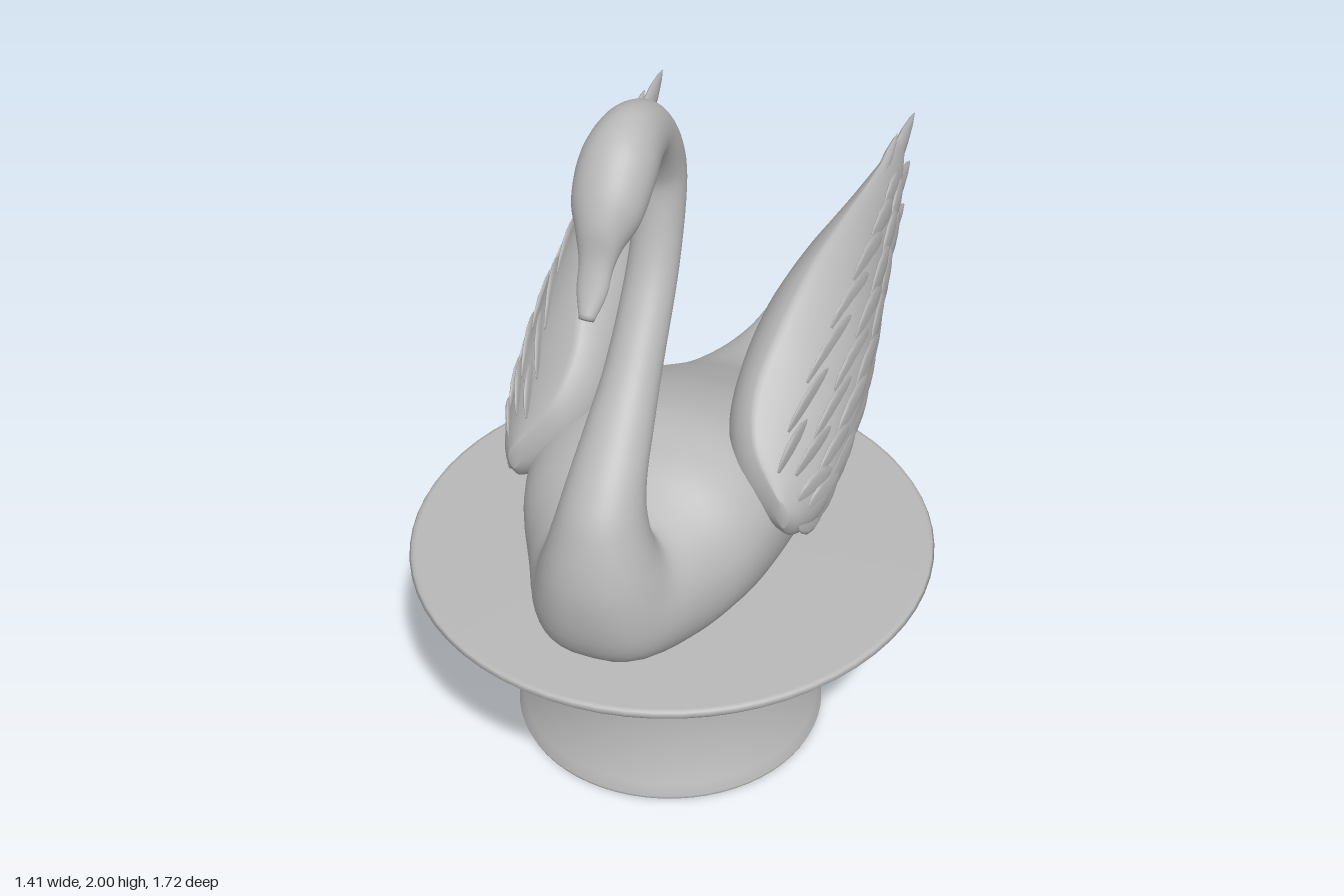
import * as THREE from 'three';

const stone = new THREE.MeshStandardMaterial({ color: 0xb8b8b8 });
stone.name = 'stoneGrey';

const V = (x, y, z) => new THREE.Vector3(x, y, z);

// Catmull-Rom interpolation of every column in a table of rows, t from 0 to 1
function sample(rows, t) {
  const n = rows.length - 1;
  const f = Math.min(Math.max(t, 0), 1) * n;
  const i = Math.min(Math.floor(f), n - 1), u = f - i;
  const row = (k) => rows[Math.min(Math.max(k, 0), n)];
  return rows[0].map((_, c) => {
    const [a, b, d, e] = [row(i - 1)[c], row(i)[c], row(i + 1)[c], row(i + 2)[c]];
    return b + 0.5 * u * (d - a + u * (2 * a - 5 * b + 4 * d - e + u * (3 * (b - d) + e - a)));
  });
}

// Skin over closed rings, capped at both ends and always facing outward
function loft(rings) {
  const n = rings[0].length, m = rings.length, pts = rings.flat(), idx = [];
  for (let i = 0; i < m - 1; i++) {
    for (let j = 0; j < n; j++) {
      const a = i * n + j, b = i * n + (j + 1) % n;
      idx.push(a, b, a + n, b, b + n, a + n);
    }
  }
  for (const [r, flip] of [[0, true], [m - 1, false]]) {
    const c = pts.length;
    pts.push(rings[r].reduce((s, p) => s.add(p), V(0, 0, 0)).divideScalar(n));
    for (let j = 0; j < n; j++) {
      const a = r * n + j, b = r * n + (j + 1) % n;
      idx.push(...(flip ? [c, b, a] : [c, a, b]));
    }
  }
  let volume = 0;
  for (let k = 0; k < idx.length; k += 3) {
    volume += pts[idx[k]].dot(V(0, 0, 0).crossVectors(pts[idx[k + 1]], pts[idx[k + 2]]));
  }
  if (volume < 0) idx.reverse();
  const geo = new THREE.BufferGeometry().setFromPoints(pts);
  geo.setIndex(idx);
  geo.computeVertexNormals();
  return geo;
}

function add(parent, name, geo) {
  const mesh = new THREE.Mesh(geo, stone);
  mesh.name = name;
  parent.add(mesh);
  return mesh;
}

// Tail to beak: lower/front z, y, then upper/back z, y, then half width
const bodyRows = [
  [-0.86, 0.775, -0.862, 0.785, 0.004], [-0.79, 0.695, -0.80, 0.75, 0.033],
  [-0.68, 0.618, -0.70, 0.722, 0.075], [-0.55, 0.572, -0.56, 0.73, 0.13],
  [-0.40, 0.55, -0.40, 0.77, 0.205], [-0.22, 0.53, -0.22, 0.86, 0.295],
  [0, 0.52, 0, 0.965, 0.355], [0.2, 0.52, 0.2, 1.015, 0.362],
  [0.4, 0.52, 0.35, 0.99, 0.328], [0.58, 0.53, 0.45, 0.94, 0.255],
  [0.74, 0.61, 0.51, 0.915, 0.192], [0.787, 0.80, 0.528, 0.92, 0.15],
  [0.75, 0.98, 0.525, 0.975, 0.115], [0.68, 1.09, 0.50, 1.05, 0.097],
  [0.58, 1.19, 0.43, 1.14, 0.084], [0.457, 1.315, 0.345, 1.25, 0.071],
  [0.325, 1.50, 0.212, 1.47, 0.065], [0.27, 1.675, 0.144, 1.68, 0.063],
  [0.287, 1.755, 0.17, 1.82, 0.064], [0.34, 1.81, 0.27, 1.945, 0.068],
  [0.39, 1.81, 0.40, 2.0, 0.08], [0.46, 1.785, 0.51, 1.975, 0.093],
  [0.53, 1.735, 0.59, 1.895, 0.086], [0.575, 1.705, 0.635, 1.81, 0.058],
  [0.61, 1.675, 0.65, 1.73, 0.042], [0.645, 1.63, 0.675, 1.665, 0.037],
  [0.685, 1.582, 0.708, 1.603, 0.018],
];

function bodyGeometry() {
  const rings = [];
  for (let i = 0; i <= 130; i++) {
    const [zb, yb, zt, yt, w] = sample(bodyRows, i / 130);
    // fuller flanks where the body rests on the plate, easing off at tail and neck
    const full = Math.sin(Math.PI * Math.min(i / 60, 1));
    const ring = [];
    for (let j = 0; j < 40; j++) {
      const a = j / 40 * Math.PI * 2, c = Math.cos(a), s = Math.sin(a);
      const x = w * Math.sign(c) * Math.pow(Math.abs(c), 1 - full * (s < 0 ? 0.5 : 0.12));
      const k = (s + 1) / 2;
      ring.push(V(x, yb + (yt - yb) * k, zb + (zt - zb) * k));
    }
    rings.push(ring);
  }
  return loft(rings);
}

// Wing sections: z, low y, top y, then x at the low edge, outer face, top edge, inner face
const wingRows = [
  [0.335, 0.82, 0.90, 0.37, 0.385, 0.36, 0.355], [0.29, 0.765, 1.01, 0.375, 0.405, 0.28, 0.25],
  [0.20, 0.73, 1.12, 0.38, 0.435, 0.25, 0.19], [0.08, 0.765, 1.235, 0.385, 0.45, 0.27, 0.17],
  [-0.08, 0.80, 1.335, 0.38, 0.455, 0.30, 0.175], [-0.24, 0.825, 1.39, 0.365, 0.44, 0.33, 0.20],
  [-0.40, 0.91, 1.415, 0.34, 0.415, 0.35, 0.245], [-0.52, 1.025, 1.43, 0.34, 0.40, 0.36, 0.29],
  [-0.61, 1.16, 1.435, 0.36, 0.39, 0.365, 0.335], [-0.68, 1.36, 1.42, 0.37, 0.375, 0.37, 0.365],
];

// Point on a wing face; v runs from the low edge to the top edge
function wingPoint(t, v, outer, side, lift = 0) {
  const [z, y0, y1, xl, xo, xt, xi] = sample(wingRows, t);
  const bulge = (outer ? xo : xi) - (xl + xt) / 2;
  const x = xl + (xt - xl) * v + bulge * Math.pow(Math.max(4 * v * (1 - v), 0), 0.75);
  return V(side * (x + (outer ? lift : -lift)), y0 + (y1 - y0) * v, z);
}

function wingGeometry(side) {
  const rings = [];
  const ease = (j) => (1 - Math.cos(j / 16 * Math.PI)) / 2;
  for (let i = 0; i <= 48; i++) {
    const ring = [];
    for (let j = 0; j < 16; j++) ring.push(wingPoint(i / 48, ease(j), true, side));
    for (let j = 16; j > 0; j--) ring.push(wingPoint(i / 48, ease(j), false, side));
    rings.push(ring);
  }
  return loft(rings);
}

// Flat rounded feather from root to tip
function feather(root, tip, width, thick) {
  const dir = tip.clone().sub(root).normalize();
  const across = V(0, 0, 0).crossVectors(dir, V(1, 0, 0)).normalize();
  const out = V(0, 0, 0).crossVectors(across, dir);
  const shape = [[0, 0.3], [0.15, 0.7], [0.4, 1], [0.65, 0.97], [0.82, 0.74], [0.94, 0.38], [1, 0.05]];
  return loft(shape.map(([t, w]) => Array.from({ length: 8 }, (_, j) => {
    const a = j / 8 * Math.PI * 2;
    return root.clone().lerp(tip, t)
      .addScaledVector(across, Math.cos(a) * width * w)
      .addScaledVector(out, Math.sin(a) * thick * w);
  })));
}

// Flight feather tips: x, y, z, half width
const flightTips = [
  [0.365, 1.455, -0.63, 0.035], [0.37, 1.44, -0.785, 0.05], [0.375, 1.31, -0.745, 0.06],
  [0.372, 1.185, -0.72, 0.055], [0.36, 1.07, -0.62, 0.055], [0.35, 0.99, -0.555, 0.05],
  [0.345, 0.93, -0.46, 0.05], [0.35, 0.862, -0.37, 0.05], [0.37, 0.805, -0.26, 0.045],
];

function wing(side) {
  const g = new THREE.Group();
  g.name = side > 0 ? 'leftWing' : 'rightWing';
  add(g, 'wingCore', wingGeometry(side));
  for (const [x, y, z, w] of flightTips) {
    const tip = V(side * x, y, z);
    const root = tip.clone().lerp(V(side * 0.33, 1.1, 0.1), 0.5);
    add(g, 'flightFeather', feather(root, tip, w, 0.016));
  }
  // overlapping small feathers, sunk into the outer face for soft relief
  for (let r = 0; r < 5; r++) {
    for (let k = 0; k < 7; k++) {
      const t = 0.1 + k * 0.1 + (r % 2) * 0.04;
      const v = 0.14 + r * 0.165;
      const root = wingPoint(t, v + 0.03, true, side, -0.003);
      const tip = wingPoint(Math.min(t + 0.15, 0.93), v - 0.03, true, side, 0.002);
      add(g, 'covertFeather', feather(root, tip, 0.045, 0.008));
    }
  }
  return g;
}

export function createModel() {
  const model = new THREE.Group();
  model.name = 'swanOnPedestal';

  // flared pedestal with a wide plate set slightly back on its foot
  const profile = [
    [0, 0], [0.42, 0], [0.42, 0], [0.425, 0.012], [0.41, 0.04], [0.385, 0.11], [0.37, 0.19],
    [0.367, 0.27], [0.377, 0.34], [0.405, 0.395], [0.46, 0.43], [0.56, 0.463], [0.64, 0.497],
    [0.69, 0.53], [0.706, 0.548], [0.70, 0.558], [0.69, 0.56], [0.69, 0.56], [0, 0.566],
  ].map(([x, y]) => new THREE.Vector2(x, y));
  const pedestal = new THREE.LatheGeometry(profile, 64);
  const pos = pedestal.attributes.position;
  for (let i = 0; i < pos.count; i++) {
    const k = THREE.MathUtils.smoothstep(pos.getY(i), 0.35, 0.54);
    pos.setZ(i, pos.getZ(i) * (1 + 0.02 * k) + 0.163 - 0.021 * k);
  }
  add(model, 'pedestal', pedestal);

  // body, neck, head and beak in one sweep
  add(model, 'bodyAndNeck', bodyGeometry());

  for (const side of [1, -1]) model.add(wing(side));
  return model;
}
